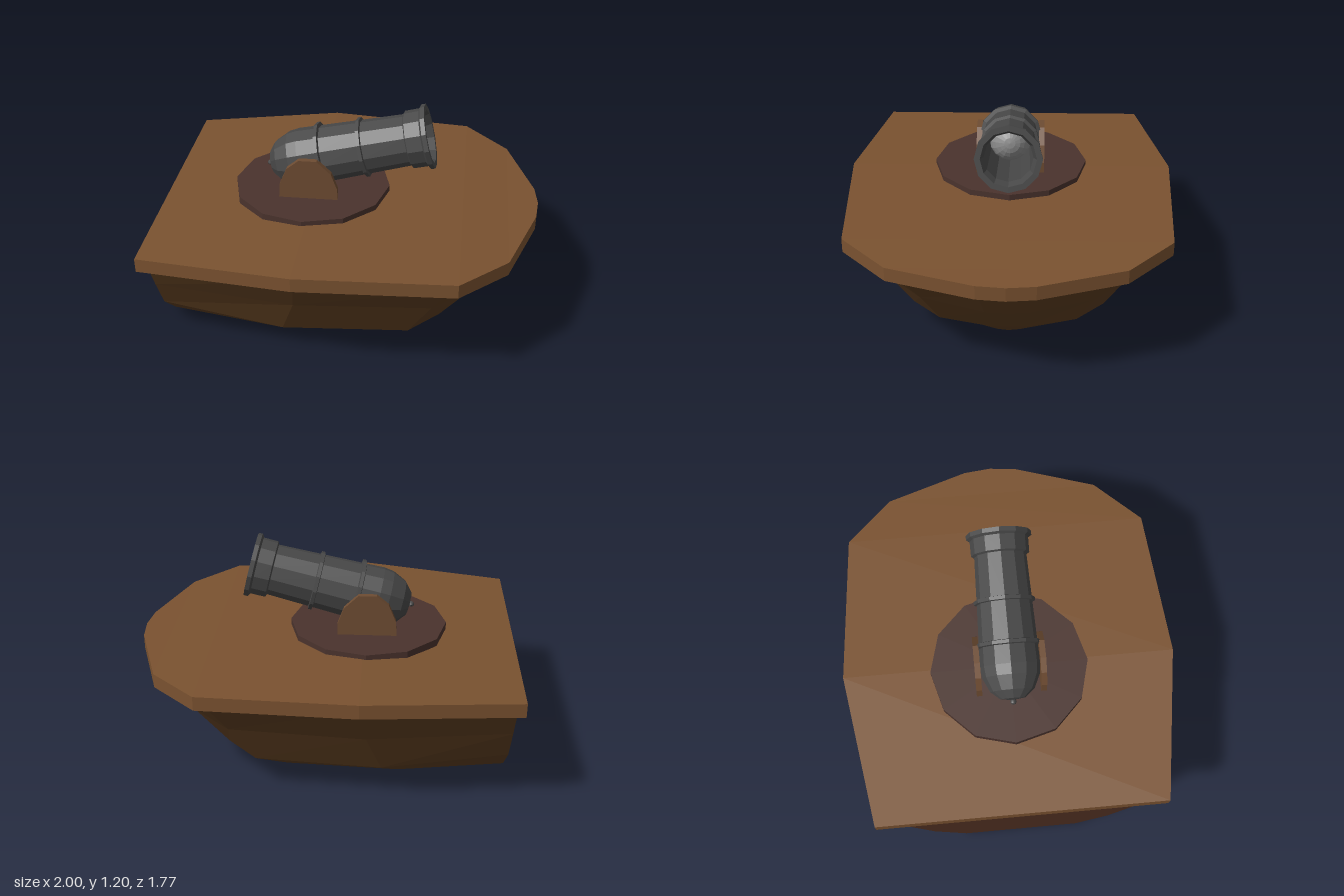
import * as THREE from 'three';

const paint = (color, side = THREE.FrontSide) =>
  new THREE.MeshStandardMaterial({ color, flatShading: true, side });

function add(parent, name, geometry, material) {
  const mesh = new THREE.Mesh(geometry, material);
  mesh.name = name;
  parent.add(mesh);
  return mesh;
}

// Flat-shaded geometry from a list of quads (each four [x, y, z] corners).
function fromQuads(quads) {
  const pos = [];
  for (const [a, b, c, d] of quads) pos.push(...a, ...b, ...c, ...a, ...c, ...d);
  const g = new THREE.BufferGeometry();
  g.setAttribute('position', new THREE.Float32BufferAttribute(pos, 3));
  g.computeVertexNormals();
  return g;
}

// Half outline (stern to bow, last point on the centreline) mirrored to a full ring.
const mirrorRing = half =>
  [...half, ...half.slice(0, -1).reverse().map(([x, y, z]) => [x, y, -z])];

function sideQuads(lower, upper) {
  const quads = [];
  for (let i = 0; i < lower.length - 1; i++) {
    quads.push([lower[i], lower[i + 1], upper[i + 1], upper[i]]);
  }
  return quads;
}

function sternQuad(lower, upper) {
  const n = lower.length - 1;
  return [lower[n], lower[0], upper[0], upper[n]];
}

// Strips across the ring from one side to the other.
function capQuads(ring, up) {
  const quads = [], n = ring.length - 1;
  for (let i = 0; i < n / 2; i++) {
    const q = [ring[i], ring[i + 1], ring[n - i - 1], ring[n - i]];
    quads.push(up ? q : q.reverse());
  }
  return quads;
}

export function createModel() {
  const model = new THREE.Group();
  model.name = 'cannonBoat';

  // Hull: four outlines from the keel up to the deck
  const rings = [
    [[-0.97, 0.03, 0.31], [-0.4, 0.004, 0.365], [0.2, 0, 0.33], [0.34, 0.01, 0.23], [0.42, 0.015, 0.06], [0.43, 0.015, 0]],
    [[-0.97, 0.195, 0.48], [-0.31, 0.14, 0.56], [0.35, 0.14, 0.51], [0.51, 0.15, 0.36], [0.59, 0.155, 0.09], [0.6, 0.16, 0]],
    [[-0.97, 0.385, 0.585], [-0.23, 0.38, 0.675], [0.47, 0.38, 0.62], [0.67, 0.385, 0.44], [0.8, 0.39, 0.11], [0.81, 0.39, 0]],
    [[-0.97, 0.59, 0.69], [-0.2, 0.625, 0.82], [0.57, 0.605, 0.765], [0.8, 0.595, 0.545], [0.945, 0.59, 0.135], [0.96, 0.59, 0]],
  ].map(mirrorRing);
  const hull = capQuads(rings[0], false), transom = [];
  for (let i = 0; i < 3; i++) {
    hull.push(...sideQuads(rings[i], rings[i + 1]));
    transom.push(sternQuad(rings[i], rings[i + 1]));
  }
  add(model, 'hull', fromQuads(hull), paint(0x5c3d20));
  add(model, 'transom', fromQuads(transom), paint(0x4c2e20));

  // Deck: overhanging slab with a gentle sheer
  const thickness = 0.075;
  const deckHalf = [[-1, 0.66, 0.76], [-0.2, 0.695, 0.885], [0.6, 0.68, 0.825], [0.84, 0.667, 0.585], [0.985, 0.665, 0.145], [1, 0.665, 0]];
  const deckTop = mirrorRing(deckHalf);
  const deckBase = deckTop.map(([x, y, z]) => [x, y - thickness, z]);
  add(model, 'deck', fromQuads([
    ...capQuads(deckTop, true), ...capQuads(deckBase, false),
    ...sideQuads(deckBase, deckTop), sternQuad(deckBase, deckTop),
  ]), paint(0x7a5230));

  // Turntable
  const turntable = add(model, 'turntable', new THREE.CylinderGeometry(0.42, 0.42, 0.04, 12), paint(0x4a332d));
  turntable.position.set(-0.22, 0.7, 0);

  // Rounded cheek plates either side of the barrel
  const cheek = new THREE.Shape([
    [-0.155, 0.7], [0.158, 0.7], [0.158, 0.78], [0.125, 0.87], [0.05, 0.943],
    [-0.045, 0.943], [-0.11, 0.89], [-0.148, 0.8],
  ].map(p => new THREE.Vector2(...p)));
  const cheekGeo = new THREE.ExtrudeGeometry(cheek, { depth: 0.03, bevelEnabled: false });
  for (const [name, z] of [['leftCheek', 0.155], ['rightCheek', -0.185]]) {
    add(model, name, cheekGeo, paint(0x6e4c32)).position.set(-0.22, 0, z);
  }

  // Cannon: built along its own y axis from the rear knob, then tilted
  const cannon = new THREE.Group();
  cannon.name = 'cannon';
  cannon.position.set(-0.46, 0.82, 0);
  cannon.rotation.z = THREE.MathUtils.degToRad(13.8 - 90);
  model.add(cannon);
  const iron = paint(0x484848, THREE.DoubleSide);
  const barrelProfile = [
    [0, 0.02], [0.065, 0.028], [0.115, 0.07], [0.15, 0.145], [0.157, 0.2], [0.153, 0.3], [0.145, 0.53],
    [0.137, 0.775], [0.153, 0.782], [0.154, 0.862], [0.172, 0.872], [0.172, 0.895],
    [0.142, 0.895], [0.125, 0.85], [0.12, 0.3], [0, 0.25],
  ].map(p => new THREE.Vector2(...p));
  add(cannon, 'barrel', new THREE.LatheGeometry(barrelProfile, 12), iron);
  add(cannon, 'rearKnob', new THREE.SphereGeometry(0.016, 8, 6), iron).position.y = 0.012;
  for (const [name, y, r] of [['rearBand', 0.31, 0.172], ['middleBand', 0.535, 0.16]]) {
    const band = [[r - 0.025, y - 0.014], [r, y - 0.009], [r, y + 0.009], [r - 0.025, y + 0.014]];
    add(cannon, name, new THREE.LatheGeometry(band.map(p => new THREE.Vector2(...p)), 12), iron);
  }
  add(cannon, 'cannonball', new THREE.SphereGeometry(0.112, 16, 12), paint(0x8c8c8c)).position.y = 0.4;

  return model;
}
